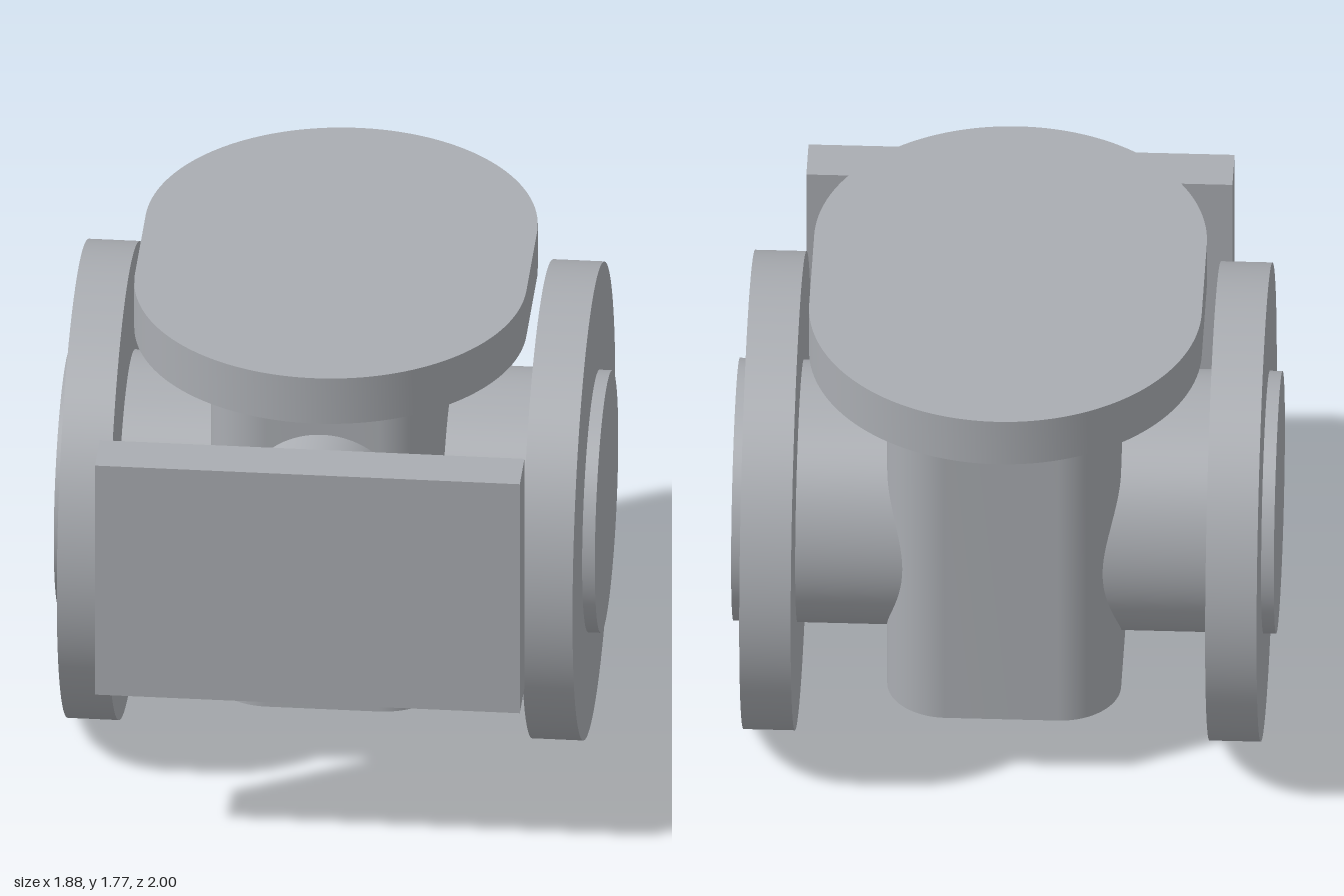
import * as THREE from 'three';
import { toCreasedNormals } from 'three/addons/utils/BufferGeometryUtils.js';

const CENTER_Z = -0.11; // shared axis of body, lid and side pipes
const PIPE_Y = 0.83;

// Rounded rectangle in plan, extruded upwards from y0 to y1
function roundedSlab(halfX, halfZ, radius, y0, y1, segments) {
  const ix = halfX - radius, iz = halfZ - radius;
  const s = new THREE.Shape();
  s.absarc(ix, iz, radius, 0, Math.PI / 2);
  s.absarc(-ix, iz, radius, Math.PI / 2, Math.PI);
  s.absarc(-ix, -iz, radius, Math.PI, Math.PI * 1.5);
  s.absarc(ix, -iz, radius, Math.PI * 1.5, Math.PI * 2);
  s.closePath();
  const geo = new THREE.ExtrudeGeometry(s, { depth: y1 - y0, bevelEnabled: false, curveSegments: segments });
  geo.rotateX(-Math.PI / 2);
  geo.translate(0, y0, CENTER_Z);
  return toCreasedNormals(geo, 0.5);
}

// Cylinder along x between two positions
function discX(radius, x0, x1) {
  const geo = new THREE.CylinderGeometry(radius, radius, Math.abs(x1 - x0), 96);
  geo.rotateZ(Math.PI / 2);
  geo.translate((x0 + x1) / 2, PIPE_Y, CENTER_Z);
  return geo;
}

export function createModel() {
  const model = new THREE.Group();
  model.name = 'valveBody';
  const steel = new THREE.MeshStandardMaterial({ color: 0xaaadb2 });
  steel.name = 'steel grey';
  const add = (name, geo) => {
    const mesh = new THREE.Mesh(geo, steel);
    mesh.name = name;
    model.add(mesh);
  };

  // Central housing and its stadium-shaped lid
  add('housing', roundedSlab(0.405, 0.52, 0.21, 0.25, 1.6, 16));
  add('topFlange', roundedSlab(0.68, 0.885, 0.68, 1.59, 1.77, 40));

  // Side pipes with round flanges, mirrored
  for (const [side, sign] of [['left', 1], ['right', -1]]) {
    add(side + 'Pipe', discX(0.455, sign * 0.3, sign * 0.94));
    add(side + 'Flange', discX(0.83, sign * 0.718, sign * 0.896));
  }

  // Front branch with a rectangular plate
  const branch = new THREE.CylinderGeometry(0.283, 0.283, 0.6, 64);
  branch.rotateX(Math.PI / 2);
  branch.translate(0, 1.057, 0.55);
  add('frontPipe', branch);
  const plate = new THREE.BoxGeometry(1.476, 0.91, 0.18);
  plate.translate(0, 1.057, 0.91);
  add('frontPlate', plate);

  return model;
}
